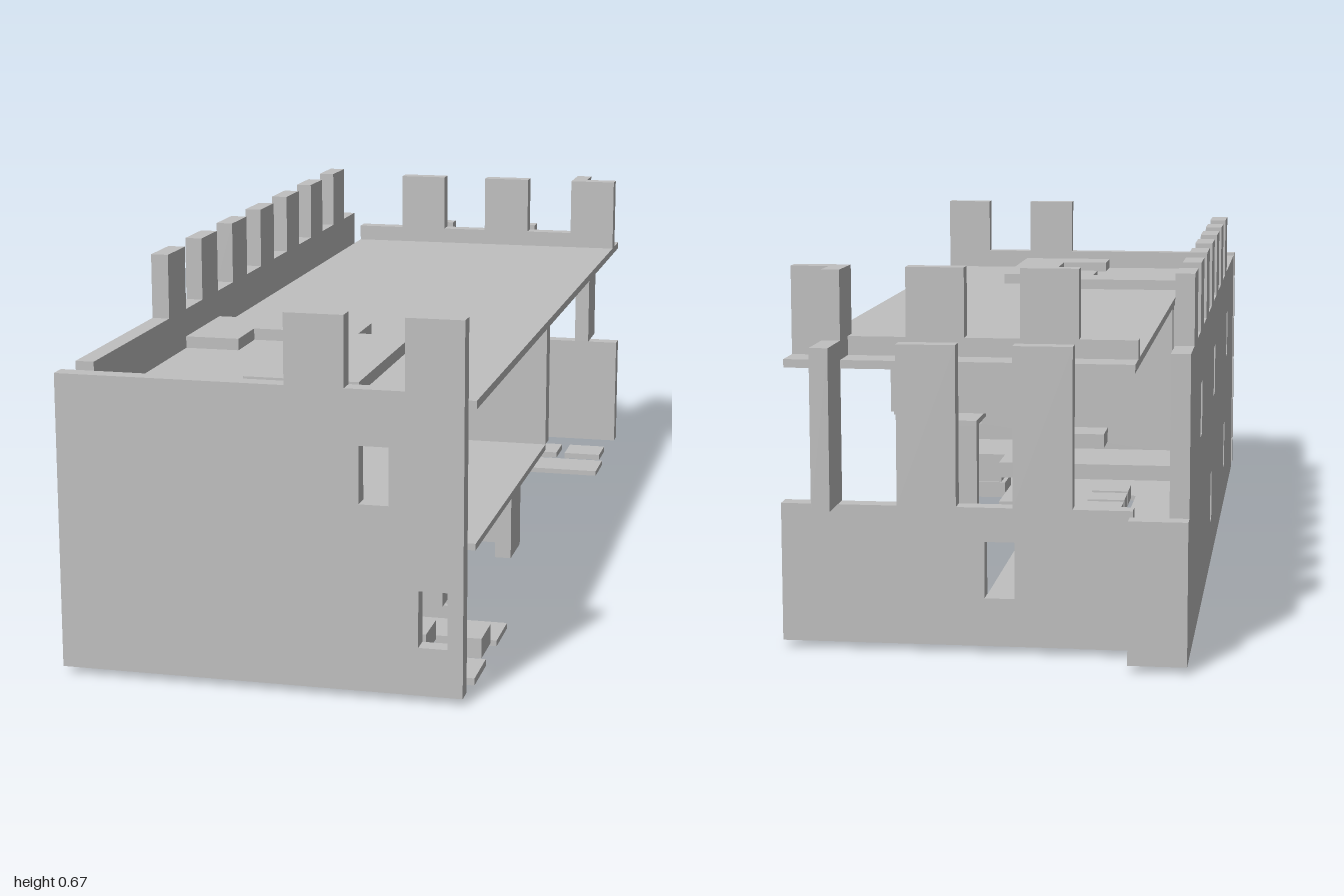
import * as THREE from 'three';

const stone = new THREE.MeshStandardMaterial({ color: 0xc0c0c0 });
stone.name = 'stone grey';

// Outline from corner points, with rectangular or polygonal holes
function outline(points, holes = []) {
  const toVec = (list) => list.map(([a, b]) => new THREE.Vector2(a, b));
  const shape = new THREE.Shape(toVec(points));
  for (const hole of holes) shape.holes.push(new THREE.Path(toVec(hole)));
  return shape;
}

const rect = (a0, a1, b0, b1) => [[a0, b0], [a1, b0], [a1, b1], [a0, b1]];

// Wall outline with merlons standing on its top edge
function battlement(a0, a1, bottom, top, merlons, peak) {
  const points = [[a0, bottom], [a1, bottom], [a1, top]];
  for (const [m0, m1] of [...merlons].sort((p, q) => q[0] - p[0])) {
    points.push([m1, top], [m1, peak], [m0, peak], [m0, top]);
  }
  points.push([a0, top]);
  return points.filter((p, i) => i === 0 || p[0] !== points[i - 1][0] || p[1] !== points[i - 1][1]);
}

export function createModel() {
  const model = new THREE.Group();
  model.name = 'castleHall';

  const add = (name, geometry) => {
    const mesh = new THREE.Mesh(geometry, stone);
    mesh.name = name;
    model.add(mesh);
  };
  const extrude = (points, holes, depth) =>
    new THREE.ExtrudeGeometry(outline(points, holes), { depth, bevelEnabled: false });

  // Wall facing z, drawn in x and y
  const wallZ = (name, points, holes, z0, z1) =>
    add(name, extrude(points, holes, z1 - z0).translate(0, 0, z0));
  // Wall facing x, drawn in z and y
  const wallX = (name, points, holes, x0, x1) =>
    add(name, extrude(points, holes, x1 - x0).rotateY(-Math.PI / 2).translate(x1, 0, 0));
  // Level plate, drawn in x and z
  const plate = (name, points, holes, y0, y1) =>
    add(name, extrude(points, holes, y1 - y0).rotateX(Math.PI / 2).translate(0, y1, 0));
  const box = (name, x0, x1, y0, y1, z0, z1) => add(name,
    new THREE.BoxGeometry(x1 - x0, y1 - y0, z1 - z0)
      .translate((x0 + x1) / 2, (y0 + y1) / 2, (z0 + z1) / 2));

  // Front wall
  wallZ('frontWall',
    battlement(-0.362, 0.362, 0.012, 0.545, [[0.05, 0.155], [0.26, 0.362]], 0.67),
    [rect(0.18, 0.232, 0.345, 0.447), rect(0.284, 0.335, 0.098, 0.199)], 0.967, 1);

  // Long side wall with seven merlons and five windows
  const sideMerlons = [];
  for (let i = 0; i < 7; i++) sideMerlons.push([-0.862 + i * 0.2075, -0.759 + i * 0.2075]);
  const windows = [[0.537, 0.395], [-0.084, 0.395], [-0.6, 0.395], [0.433, 0.149], [-0.188, 0.149]]
    .map(([z, y]) => rect(z - 0.027, z + 0.027, y - 0.05, y + 0.05));
  wallX('sideWall', battlement(-0.967, 0.897, 0.012, 0.545, sideMerlons, 0.67), windows, -0.362, -0.328);
  for (const z of [-0.257, -0.464, -0.67]) box('wallRib', -0.328, -0.321, 0.075, 0.322, z - 0.016, z + 0.016);

  // Back wall with tall openings, corner post and side stub
  wallZ('backWall',
    battlement(-0.26, 0.362, 0.012, 0.26, [[-0.155, -0.05], [0.05, 0.155]], 0.545),
    [rect(-0.053, 0, 0.098, 0.199)], -0.9, -0.866);
  box('cornerPost', -0.362, -0.26, 0.012, 0.263, -1, -0.967);
  box('sideStub', 0.26, 0.293, 0.26, 0.545, -0.967, -0.863);
  box('stubMerlon', 0.26, 0.293, 0.511, 0.67, -0.863, -0.797);

  // Roof with rear battlement and raised path
  plate('roof', rect(-0.26, 0.362, -0.865, 0.897), [], 0.496, 0.511);
  wallZ('roofBattlement',
    battlement(-0.26, 0.362, 0.511, 0.545, [[-0.155, -0.05], [0.05, 0.155], [0.26, 0.362]], 0.67),
    [], -0.797, -0.763);
  plate('roofPath', [
    [-0.26, 0.38], [0.05, 0.38], [0.05, 0.484], [0.155, 0.484], [0.155, 0.897], [-0.053, 0.897],
    [-0.053, 0.794], [0.05, 0.794], [0.05, 0.587], [-0.053, 0.587], [-0.053, 0.484],
    [-0.157, 0.484], [-0.157, 0.587], [-0.26, 0.587],
  ], [], 0.511, 0.533);

  // Upper storey
  plate('middleFloor', [
    [-0.26, 0.175], [0.155, 0.175], [0.155, 0.037], [0.293, 0.037],
    [0.293, 0.175], [0.362, 0.175], [0.362, 0.897], [-0.26, 0.897],
  ], [], 0.246, 0.258);
  box('dividingWall', -0.26, 0.362, 0.258, 0.496, 0.14, 0.177);

  // Angled support under the upper storey
  box('supportSide', 0.26, 0.293, 0.012, 0.246, 0.07, 0.175);
  box('supportBack', 0.155, 0.26, 0.012, 0.246, 0.037, 0.07);

  // Ground floor, with a channel for the tiles
  plate('groundFloor', [
    [-0.26, -0.865], [-0.155, -0.865], [-0.155, 0.484], [-0.05, 0.484], [-0.05, -0.657],
    [0.362, -0.657], [0.362, -0.555], [0.05, -0.555], [0.05, 0.38], [0.155, 0.38],
    [0.155, 0.484], [0.26, 0.484], [0.26, 0.587], [0.362, 0.587], [0.362, 0.69],
    [0.05, 0.69], [0.05, 0.897], [-0.26, 0.897],
  ], [], 0.002, 0.013);
  box('frontSlab', 0.155, 0.362, 0, 0.013, 0.794, 0.897);

  // Floor tiles in a long row and a short row
  const tile = (x, z, top) => box('floorTile', x - 0.042, x + 0.042, 0.011, top, z - 0.042, z + 0.042);
  for (let i = 0; i < 12; i++) tile(-0.103, -0.71 + i * 0.1036, i < 8 ? 0.024 : 0.042);
  for (let i = 1; i < 5; i++) tile(-0.103 + i * 0.1036, -0.71, 0.024);

  // Stepped blocks and raised path near the front
  box('stepSlab', 0.155, 0.26, 0.013, 0.038, 0.484, 0.587);
  box('stepBlock', 0.165, 0.25, 0.038, 0.07, 0.49, 0.575);
  box('stepBlock', 0.268, 0.352, 0.01, 0.047, 0.7, 0.784);
  box('stepBlock', 0.165, 0.25, 0.01, 0.047, 0.7, 0.784);
  plate('lowerPath', [
    [-0.26, 0.38], [0.155, 0.38], [0.155, 0.484], [0.26, 0.484], [0.26, 0.69], [0.155, 0.69],
    [0.155, 0.897], [-0.05, 0.897], [-0.05, 0.794], [0.05, 0.794], [0.05, 0.587], [-0.26, 0.587],
  ], [], 0.07, 0.105);

  return model;
}
